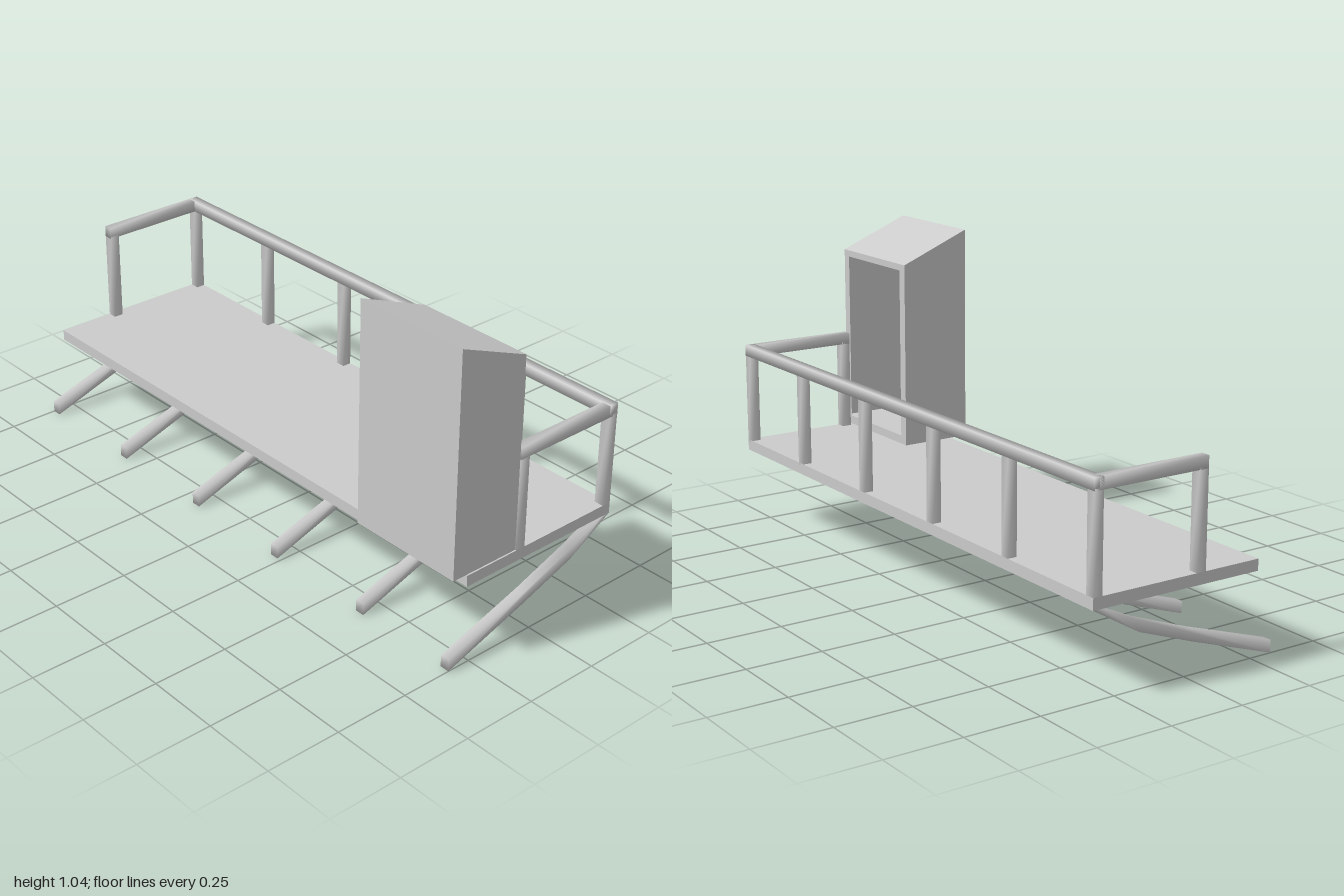
import * as THREE from 'three';
import { mergeVertices } from 'three/addons/utils/BufferGeometryUtils.js';

const material = new THREE.MeshStandardMaterial({ color: 0xcccccc });
const sheetMaterial = new THREE.MeshStandardMaterial({ color: 0xcccccc, side: THREE.DoubleSide });

// Shares corner vertices so bars shade softly across their edges
function soften(geometry) {
  geometry.deleteAttribute('uv');
  geometry.deleteAttribute('normal');
  const merged = mergeVertices(geometry, 1e-4);
  merged.computeVertexNormals();
  return merged;
}

function add(parent, name, geometry, mat = material) {
  const mesh = new THREE.Mesh(geometry, mat);
  mesh.name = name;
  parent.add(mesh);
  return mesh;
}

// Box given by its extents
function box([x0, x1], [y0, y1], [z0, z1]) {
  const geometry = new THREE.BoxGeometry(x1 - x0, y1 - y0, z1 - z0);
  geometry.translate((x0 + x1) / 2, (y0 + y1) / 2, (z0 + z1) / 2);
  return geometry;
}

function bar(parent, name, ...extents) {
  return add(parent, name, soften(box(...extents)));
}

// Flat four-cornered sheet, corners counter-clockwise from its front
function quad(...corners) {
  const geometry = new THREE.BufferGeometry();
  geometry.setAttribute('position', new THREE.Float32BufferAttribute(corners.flat(), 3));
  geometry.setIndex([0, 1, 2, 0, 2, 3]);
  geometry.computeVertexNormals();
  return geometry;
}

function outline(points) {
  return new THREE.Shape(points.map(([x, y]) => new THREE.Vector2(x, y)));
}

export function createModel() {
  const group = new THREE.Group();
  const half = 0.016;
  const stations = [0.984, 0.62, 0.22, -0.18, -0.58, -0.984];

  // Platform
  add(group, 'platform', box([-0.27, 0.327], [0.265, 0.302], [-1, 1]));

  // Railing: long top rail with posts, and a short return at each end
  const railing = new THREE.Group();
  railing.name = 'railing';
  group.add(railing);
  bar(railing, 'topRail', [0.295, 0.328], [0.604, 0.642], [-1, 1]);
  for (const z of stations) {
    bar(railing, 'railPost', [0.296, 0.327], [0.295, 0.61], [z - half, z + half]);
  }
  for (const z of [0.984, -0.984]) {
    bar(railing, 'endRail', [-0.072, 0.31], [0.604, 0.642], [z - half, z + half]);
    bar(railing, 'endPost', [-0.072, -0.039], [0.295, 0.61], [z - half, z + half]);
  }

  // Curved braces sweeping down beneath the platform
  const braceShape = outline([
    [0.327, 0.266], [0.165, 0.17], [-0.03, 0.1], [-0.33, 0],
    [-0.33, 0.04], [-0.03, 0.136], [0.165, 0.207], [0.295, 0.266],
  ].reverse());
  for (const z of stations) {
    const geometry = new THREE.ExtrudeGeometry(braceShape, { depth: half * 2, bevelEnabled: false });
    geometry.translate(0, 0, z - half);
    add(group, 'brace', soften(geometry));
  }

  // Booth with a sloping roof
  const booth = new THREE.Group();
  booth.name = 'booth';
  group.add(booth);
  const [xBack, xFront, yLow, yFront, yBack, zNear, zFar] = [-0.325, -0.078, 0.307, 0.94, 1.04, 1, 0.6];
  const sideShape = outline([[xBack, yLow], [xFront, yLow], [xFront, yFront], [xBack, yBack]]);
  for (const z of [zNear, zFar]) {
    add(booth, 'boothSide', new THREE.ShapeGeometry(sideShape), sheetMaterial).position.z = z;
  }
  add(booth, 'boothRoof', quad(
    [xBack, yBack, zNear], [xFront, yFront, zNear], [xFront, yFront, zFar], [xBack, yBack, zFar]), sheetMaterial);
  add(booth, 'boothBack', quad(
    [xBack, yLow, zNear], [xBack, yLow, zFar], [xBack, yBack, zFar], [xBack, yBack, zNear]), sheetMaterial);
  add(booth, 'boothFloor', box([xBack + 0.002, xFront - 0.002], [yLow, 0.335], [zFar + 0.002, zNear - 0.002]));

  // Frame around the large opening towards the railing
  const frame = outline([[-zNear, yLow], [-zFar, yLow], [-zFar, yFront], [-zNear, yFront]]);
  frame.holes.push(outline([[-0.97, 0.312], [-0.97, 0.918], [-0.632, 0.918], [-0.632, 0.312]]));
  const frameGeometry = new THREE.ShapeGeometry(frame);
  frameGeometry.rotateY(Math.PI / 2);
  frameGeometry.translate(xFront, 0, 0);
  add(booth, 'openingFrame', frameGeometry, sheetMaterial);

  return group;
}
